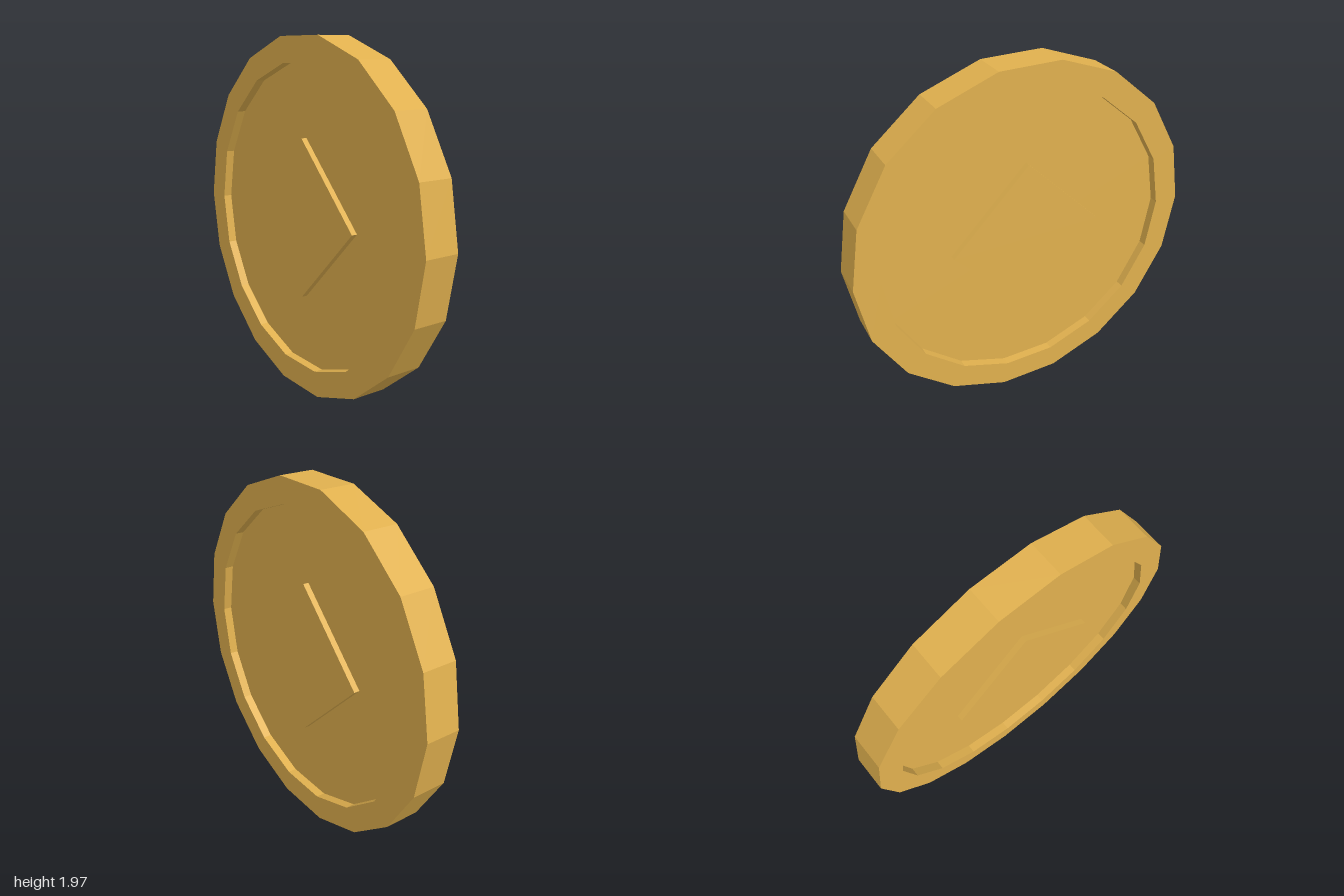
import * as THREE from 'three';

export function createModel() {
  const group = new THREE.Group();
  group.name = 'coin';
  const gold = new THREE.MeshStandardMaterial({ color: 0xe0b04e, flatShading: true });
  gold.name = 'gold';

  const R = 1, INNER = 0.855, HALF = 0.1, FLOOR = 0.05, EMBLEM = 0.083;
  const centreY = R * Math.cos(Math.PI / 18); // rests on a flat side of the 18-gon

  // Turned parts are made about y, then laid over so the axis runs along x
  const add = (name, geometry) => {
    geometry.rotateZ(Math.PI / 2);
    const mesh = new THREE.Mesh(geometry, gold);
    mesh.name = name;
    mesh.position.y = centreY;
    group.add(mesh);
  };

  // Disc with a raised rim on both faces
  const profile = [
    [0, -FLOOR], [INNER, -FLOOR], [INNER, -HALF], [R, -HALF],
    [R, HALF], [INNER, HALF], [INNER, FLOOR], [0, FLOOR],
  ].map(([r, y]) => new THREE.Vector2(r, y));
  add('coinBody', new THREE.LatheGeometry(profile, 18));

  // Raised diamond on each face
  for (const side of [1, -1]) {
    const diamond = new THREE.CylinderGeometry(0.447, 0.447, EMBLEM, 4);
    diamond.translate(0, side * EMBLEM / 2, 0);
    add(side > 0 ? 'rightDiamond' : 'leftDiamond', diamond);
  }
  return group;
}
